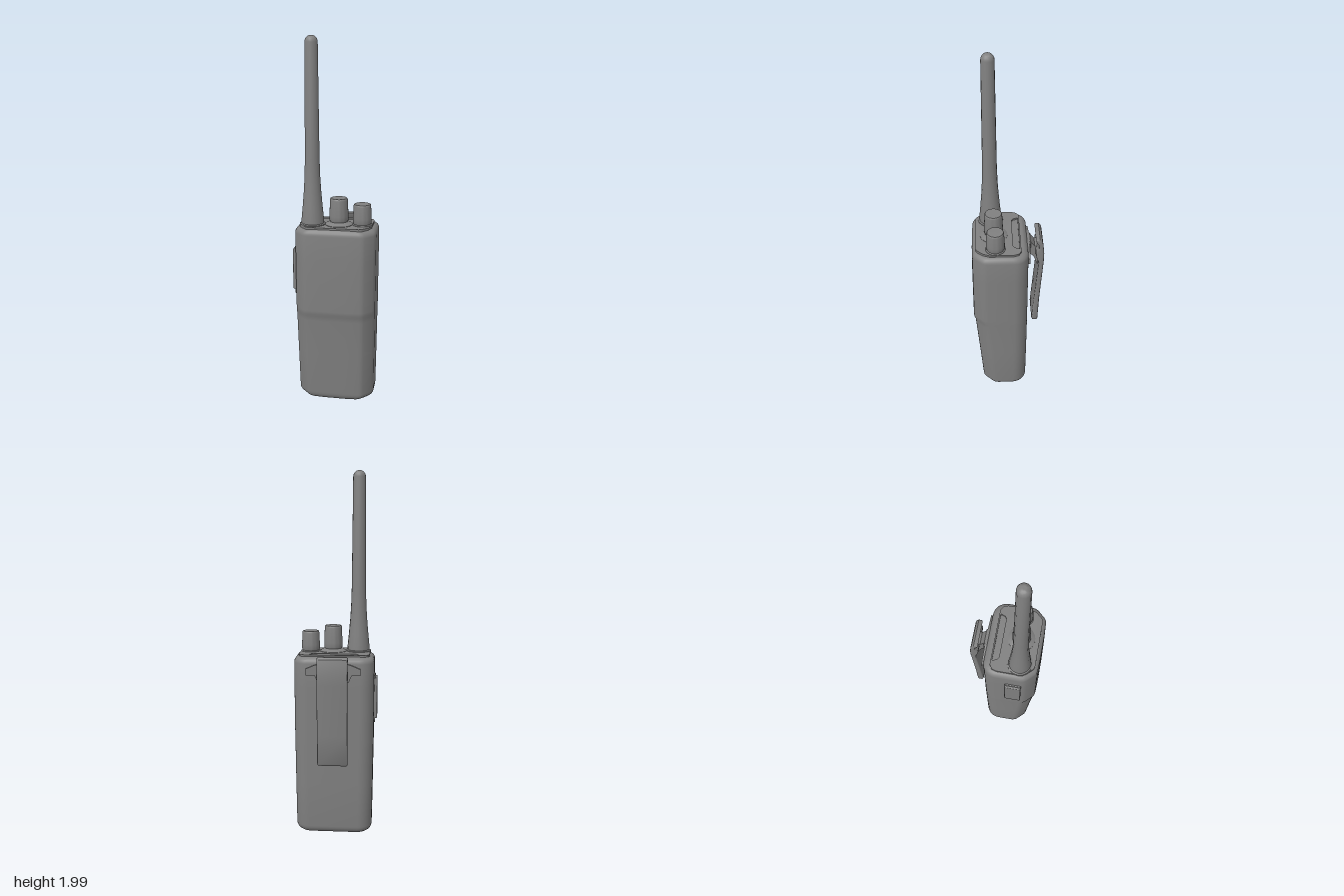
import * as THREE from 'three';
import { toCreasedNormals } from 'three/addons/utils/BufferGeometryUtils.js';
import { RoundedBoxGeometry } from 'three/addons/geometries/RoundedBoxGeometry.js';

const CX = 0.007; // centre line of the body
const material = new THREE.MeshStandardMaterial({ color: 0x808080 });

function add(parent, name, geometry, x = 0, y = 0, z = 0) {
  const mesh = new THREE.Mesh(geometry, material);
  mesh.name = name;
  mesh.position.set(x, y, z);
  parent.add(mesh);
}

// Body cross-section: round back corners, softly chamfered front corners.
function outline(w, zf, zb, inset) {
  w -= inset; zf -= inset * 0.75; zb += inset;
  const r = 0.078 - inset * 0.5;
  const front = [[w, zf - 0.085], [w - 0.004, zf - 0.068], [w - 0.012, zf - 0.054],
    [w - 0.052, zf - 0.012], [w - 0.063, zf - 0.006], [w - 0.078, zf - 0.003], [w * 0.3, zf]];
  const back = [];
  for (let i = 8; i >= 0; i--) {
    const a = (i / 8) * Math.PI / 2;
    back.push([w - r + r * Math.cos(a), zb + r - r * Math.sin(a)]);
  }
  const side = [...back, ...front];
  return [...side, ...side.map(([x, z]) => [-x, z]).reverse()];
}

// Skin a stack of equal-length rings, with capped ends.
function loft(rings) {
  const n = rings[0].pts.length, pos = [], idx = [];
  for (const { y, pts } of rings) for (const [x, z] of pts) pos.push(x + CX, y, z);
  for (let j = 0; j < rings.length - 1; j++) {
    for (let i = 0; i < n; i++) {
      const k = (i + 1) % n, a = j * n + i, b = j * n + k;
      idx.push(a, a + n, b, b, a + n, b + n);
    }
  }
  const bottom = pos.length / 3, top = bottom + 1, last = (rings.length - 1) * n;
  pos.push(CX, rings[0].y, 0.03, CX, rings[rings.length - 1].y, 0.03);
  for (let i = 0; i < n; i++) {
    const k = (i + 1) % n;
    idx.push(bottom, i, k, top, last + k, last + i);
  }
  const g = new THREE.BufferGeometry();
  g.setAttribute('position', new THREE.Float32BufferAttribute(pos, 3));
  g.setIndex(idx);
  return toCreasedNormals(g, 0.65);
}

function bodyGeometry() {
  const rings = [];
  const ring = (y, w, zf, zb, inset = 0) => rings.push({ y, pts: outline(w, zf, zb, inset) });
  const foot = 0.045, shoulder = 0.034;
  for (let i = 0; i <= 6; i++) { // rounded foot
    const a = (i / 6) * Math.PI / 2;
    ring(0.008 + foot * (1 - Math.cos(a)), 0.212, 0.153, -0.106, foot * (1 - Math.sin(a)));
  }
  // tapered lower front, ridge, then the upper front
  ring(0.3, 0.215, 0.172, -0.108);
  ring(0.5, 0.217, 0.188, -0.109);
  ring(0.528, 0.218, 0.191, -0.109);
  ring(0.542, 0.218, 0.197, -0.109);
  ring(0.56, 0.218, 0.198, -0.109);
  ring(0.85, 0.219, 0.197, -0.109);
  for (let i = 0; i <= 6; i++) { // rounded shoulder
    const a = (i / 6) * Math.PI / 2;
    ring(1.013 - shoulder * (1 - Math.sin(a)), 0.219, 0.195, -0.109, shoulder * (1 - Math.cos(a)));
  }
  return loft(rings);
}

function polygon(points, Type = THREE.Shape) {
  return new Type(points.map(([x, y]) => new THREE.Vector2(x, y)));
}

// Extrude a side profile, given as (-z, y), across x and centre it on the body.
function sideProfile(points, width, bevel) {
  const g = new THREE.ExtrudeGeometry(polygon(points), {
    depth: width - 2 * bevel, bevelEnabled: bevel > 0, bevelSize: bevel,
    bevelThickness: bevel, bevelOffset: -bevel, bevelSegments: 3,
  });
  g.translate(0, 0, -(width - 2 * bevel) / 2).rotateY(Math.PI / 2);
  return toCreasedNormals(g, 0.6);
}

function lathe(points, segments = 40) {
  return toCreasedNormals(new THREE.LatheGeometry(
    points.map(([r, y]) => new THREE.Vector2(r, y)), segments), 0.6);
}

function knob(name, x, z, base, top, r, collar) {
  const g = new THREE.Group();
  g.name = name;
  g.position.set(x, 0, z);
  add(g, 'collar', lathe([[collar, 1.0], [collar, 1.024], [r * 0.9, base], [0, base]]));
  add(g, 'cap', lathe([[0, base - 0.005], [r * 0.92, base - 0.005], [r, base + 0.008],
    [r, base + 0.03], [r * 0.93, top - 0.01], [r * 0.91, top - 0.003], [r * 0.86, top], [0, top]]));
  return g;
}

export function createModel() {
  const model = new THREE.Group();
  model.name = 'handheldRadio';
  add(model, 'body', bodyGeometry());

  // Top plate with a shallow slot behind the controls
  const plate = polygon([[-0.187, -0.03], [-0.178, -0.055], [-0.155, -0.07], [0.168, -0.07],
    [0.191, -0.055], [0.2, -0.03], [0.2, 0.1], [0.185, 0.135], [0.155, 0.168], [0.14, 0.174],
    [-0.126, 0.174], [-0.142, 0.168], [-0.172, 0.135], [-0.187, 0.1]]);
  plate.holes.push(polygon([[-0.131, -0.062], [-0.12, -0.035], [-0.108, -0.027],
    [0.122, -0.027], [0.134, -0.035], [0.145, -0.062]], THREE.Path));
  const plateGeometry = new THREE.ExtrudeGeometry(plate, { depth: 0.02, bevelEnabled: false });
  add(model, 'topPlate', plateGeometry.rotateX(Math.PI / 2), 0, 1.022, 0);

  // Antenna: flared boot, slim rod and domed tip
  const rod = [[0.07, 1.0], [0.07, 1.026], [0.062, 1.03], [0.061, 1.05], [0.054, 1.12],
    [0.047, 1.2], [0.042, 1.28], [0.039, 1.38], [0.034, 1.966]];
  for (let i = 1; i <= 6; i++) {
    const a = (i / 6) * Math.PI / 2;
    rod.push([0.034 * Math.cos(a), 1.966 + 0.034 * Math.sin(a)]);
  }
  add(model, 'antenna', lathe(rod, 16), -0.12, 0, 0.09);

  // Control knobs
  model.add(knob('channelKnob', 0.02, 0.075, 1.04, 1.165, 0.051, 0.075));
  model.add(knob('volumeKnob', 0.145, 0.068, 1.03, 1.135, 0.05, 0.053));

  // Push button on the right-hand side
  add(model, 'talkButtonFrame', new RoundedBoxGeometry(0.02, 0.27, 0.093, 3, 0.006), -0.208, 0.76, 0.067);
  add(model, 'talkButton', new RoundedBoxGeometry(0.03, 0.23, 0.092, 3, 0.006), -0.214, 0.765, 0.067);

  // Winged mounting plate, bracket and belt clip on the back
  const wing = [[0.05, 0.99], [0.1, 0.975], [0.147, 0.955], [0.147, 0.92], [0.1, 0.92],
    [0.085, 0.885], [0.05, 0.875]];
  const wings = polygon([...wing, ...wing.map(([x, y]) => [-x, y]).reverse()]);
  add(model, 'mountingPlate', new THREE.ExtrudeGeometry(wings, { depth: 0.015, bevelEnabled: false }),
    CX, 0, -0.12);
  add(model, 'clipBase', new RoundedBoxGeometry(0.104, 0.11, 0.02, 2, 0.004), CX, 0.93, -0.117);
  add(model, 'clipBracket', sideProfile([[0.11, 0.92], [0.145, 0.885], [0.165, 0.83], [0.18, 0.83],
    [0.18, 0.96], [0.15, 0.955], [0.125, 0.99], [0.11, 0.99]], 0.075, 0), CX);
  add(model, 'beltClip', sideProfile([[0.153, 1.026], [0.156, 1.01], [0.167, 0.995], [0.171, 0.97],
    [0.155, 0.945], [0.155, 0.915], [0.17, 0.87], [0.147, 0.56], [0.141, 0.48], [0.139, 0.45],
    [0.144, 0.434], [0.168, 0.431], [0.175, 0.442], [0.181, 0.6], [0.199, 0.88], [0.2, 0.93],
    [0.194, 0.99], [0.188, 1.018], [0.175, 1.03]], 0.164, 0.008), CX);
  return model;
}
